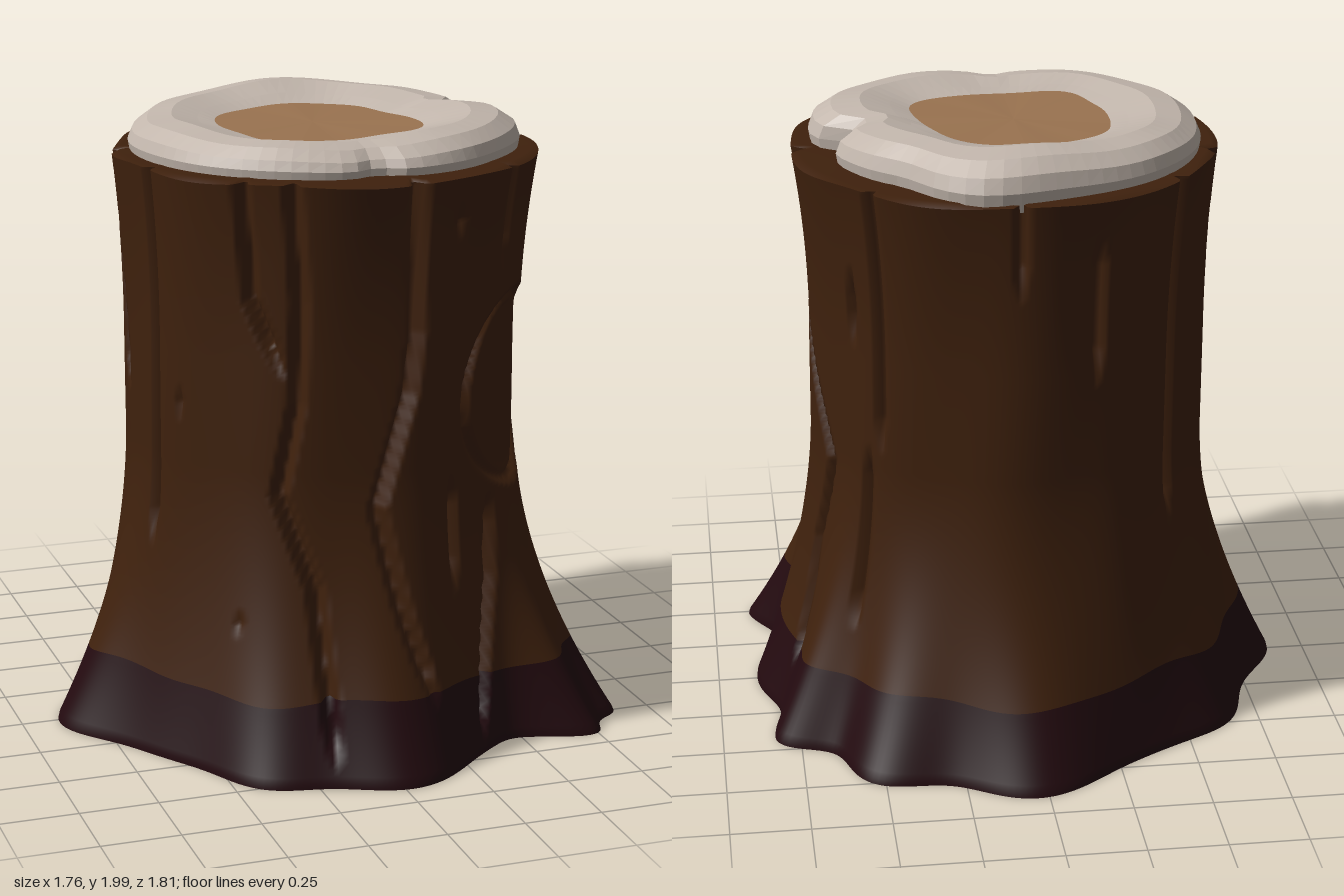
import * as THREE from 'three';

const DEG = Math.PI / 180;
const mat = (name, color, flatShading = false) => new THREE.MeshStandardMaterial({ name, color, flatShading });
const angleGap = (a, b) => Math.atan2(Math.sin(a - b), Math.cos(a - b));
const { lerp, smoothstep } = THREE.MathUtils;

// Outline: a circle with soft bulges and notches, each [angle in degrees, height, width]
const lobed = (radius, lobes) => (a) => lobes.reduce(
  (r, [at, height, width]) => r + height * Math.exp(-((angleGap(a, at * DEG) / (width * DEG)) ** 2)), radius);

const rootOutline = lobed(.77, [[30, .23, 7], [42, .23, 7], [88, .14, 17], [118, .1, 13], [178, .12, 14],
  [217, .055, 13], [273, .145, 17], [306, .16, 13], [331, .16, 9], [0, .11, 20]]);
const woodOutline = lobed(.59, [[18, .07, 25], [60, .03, 20], [285, .065, 18], [312, -.02, 10],
  [353, -.11, 5], [88, -.05, 6]]);
const heartOutline = lobed(.3, [[34, .06, 22], [127, .05, 18], [215, .02, 20], [340, -.02, 20]]);

// Skins closed rings, each ring given by a rule angle -> [x, y, z]
function loft(name, material, sides, rules) {
  const pos = [], index = [];
  rules.forEach((rule, i) => {
    for (let j = 0; j < sides; j++) {
      pos.push(...rule((j / sides) * 2 * Math.PI));
      if (i === 0) continue;
      const k = (j + 1) % sides, lo = (i - 1) * sides, hi = i * sides;
      index.push(lo + j, hi + j, lo + k, lo + k, hi + j, hi + k);
    }
  });
  const g = new THREE.BufferGeometry();
  g.setAttribute('position', new THREE.Float32BufferAttribute(pos, 3));
  g.setIndex(index);
  g.computeVertexNormals();
  const mesh = new THREE.Mesh(g, material);
  mesh.name = name;
  return mesh;
}

// Long winding cracks: points of [angle in degrees, height] from top to bottom
const longCracks = [
  [[114, 1.9], [112, 1.5], [113, 1.18], [118, .89], [108, .6], [103, .07]],
  [[81, 1.9], [80, 1.39], [82, 1.2], [91, .84], [85, .49], [79, .22]],
  [[1, 1.9], [0, 1.35], [-19, .89], [-14, .6], [-17, .15]],
  [[128, 1.9], [126, 1.5], [116, 1.26]],
  [[52, .82], [54, .55], [64, .04]],
  [[193, 1.9], [190, 1.55], [184, 1.1]],
];
// Short upright cracks: angle, top, bottom
const shortCracks = [
  [-43, 1.9, 1], [-32, 1.6, 1.32], [-38, 1.02, .4], [68, 1.8, 1.64], [68, .92, .52],
  [46, 1.9, 1.52], [20, .52, .22], [150, 1.2, 1.08], [161, 1.9, .65], [128, .52, .43],
  [223, 1.9, .7], [252, 1.75, 1.25], [275, 1.9, 1.55],
];
const cracks = [
  ...longCracks.map((path) => ({ width: .03, path })),
  ...shortCracks.map(([a, top, end]) => ({ width: .022, path: [[a, top], [a, end]] })),
];

function crackDepth(a, y, r) {
  let depth = 0;
  for (const { width, path } of cracks) {
    const top = path[0][1], end = path[path.length - 1][1];
    if (y > top || y < end) continue;
    const i = Math.max(1, path.findIndex((p) => p[1] <= y));
    const [a0, y0] = path[i - 1], [a1, y1] = path[i];
    const at = (a0 + (a1 - a0) * (y - y0) / (y1 - y0)) * DEG;
    const d = Math.abs(angleGap(a, at)) * r;
    const taper = Math.min(1, (y - end) / .12, top > 1.88 ? 1 : (top - y) / .1);
    const w = width * (.5 + .5 * taper);
    depth = Math.max(depth, 1.7 * width * taper * smoothstep(1 - d / w, 0, .85));
  }
  return depth;
}

// Bark surface: flared roots, carved cracks and the sawn-off branch knot
function bark(a, y) {
  const flare = Math.pow(Math.max(0, 1 - y / .95), 1.8);
  const top = y > 1.3 ? ((y - 1.3) / .56) ** 2 : 0;
  const core = .635 + .04 * top + .006 * Math.sin(9 * a + 2 * y);
  const upper = core + (.025 + .008 * top) * Math.cos(a) + .02 * Math.sin(a);
  let r = upper + (rootOutline(a) - upper) * flare;
  const ka = a - 36 * DEG;
  const k = Math.cos(ka) > 0 ? Math.hypot(r * Math.sin(ka), y - 1.13) : 9;
  if (k < .3) r += (.605 / Math.cos(ka) - r) * .4 * smoothstep(.3 - k, 0, .03);
  else r -= crackDepth(a, y, r) * smoothstep(k, .3, .34);
  r -= .035 * smoothstep(1 - Math.abs(k - .3) / .024, 0, 1);
  return [r * Math.cos(a), y, r * Math.sin(a)];
}

export function createModel() {
  const group = new THREE.Group();
  group.name = 'treeStump';
  const barkBrown = mat('barkBrown', 0x3f210d);
  const rootPurple = mat('rootPurple', 0x230a0f);
  const paleWood = mat('paleWood', 0xc2b6ac, true);
  const heartTan = mat('heartTan', 0x9a7350, true);
  const N = 300;
  const edge = (a) => .255 + .01 * Math.sin(5 * a) + .006 * Math.sin(11 * a + 1);
  const brim = (a) => 1.86 + .006 * Math.sin(7 * a);
  const shrink = (p, s, y) => [p[0] * s, y, p[2] * s];
  const sole = (a) => shrink(bark(a, 0), .99, .008);

  // Underside
  group.add(loft('underside', barkBrown, N, [() => [0, .008, 0], sole]));

  // Dark root band
  const roots = [sole];
  for (let i = 0; i <= 12; i++) roots.push((a) => bark(a, lerp(.025, edge(a), i / 12)));
  group.add(loft('rootBand', rootPurple, N, roots));

  // Bark trunk
  const trunk = [];
  for (let i = 0; i <= 140; i++) trunk.push((a) => bark(a, lerp(edge(a), brim(a), i / 140)));
  group.add(loft('barkTrunk', barkBrown, N, trunk));

  // Bark rim around the sawn wood
  group.add(loft('barkRim', barkBrown, N, [
    (a) => bark(a, brim(a)), (a) => shrink(bark(a, 1.86), .96, 1.868), (a) => shrink(bark(a, 1.86), .6, 1.86)]));

  // Pale sawn wood, a swollen ring that sinks toward the heart
  const lift = (a) => .016 * Math.cos(a + 63 * DEG) + .006 * Math.sin(3 * a) + .004 * Math.sin(7 * a);
  const woodRing = (t, y, k) => (a) => {
    const r = lerp(heartOutline(a), woodOutline(a), t);
    return [r * Math.cos(a), y + k * lift(a), r * Math.sin(a)];
  };
  group.add(loft('paleWoodRing', paleWood, 72, [
    woodRing(.97, 1.84, 0), woodRing(1, 1.895, .3), woodRing(.95, 1.932, .8),
    woodRing(.78, 1.966, 1), woodRing(.5, 1.977, 1), woodRing(.2, 1.955, .7), woodRing(0, 1.94, .3)]));

  // Heartwood
  group.add(loft('heartwood', heartTan, 72, [woodRing(0, 1.94, .3), () => [0, 1.938, 0]]));
  return group;
}
